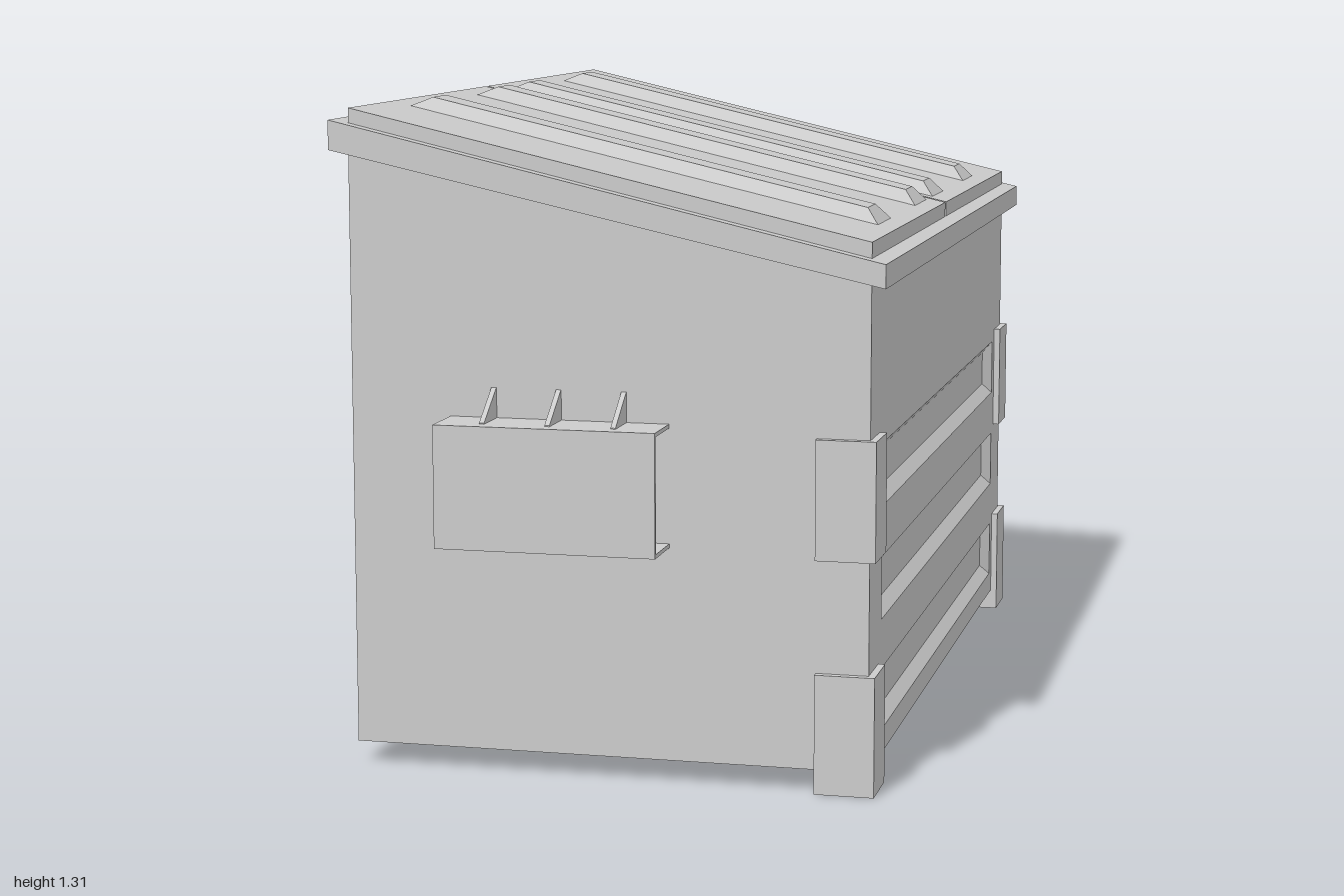
import * as THREE from 'three';

const material = new THREE.MeshStandardMaterial({ color: 0xcccccc, flatShading: true });

function add(parent, name, geometry, x = 0, y = 0, z = 0) {
  const mesh = new THREE.Mesh(geometry, material);
  mesh.name = name;
  mesh.position.set(x, y, z);
  parent.add(mesh);
  return mesh;
}

function shapeOf(points) {
  return new THREE.Shape(points.map(([x, y]) => new THREE.Vector2(x, y)));
}

// Side profile (x, y) extruded from z0 to z1
function slab(points, z0, z1) {
  return new THREE.ExtrudeGeometry(shapeOf(points), { depth: z1 - z0, bevelEnabled: false }).translate(0, 0, z0);
}

// Pressed rib facing +z with sloped edges: raised when height > 0, sunken when height < 0
function pressedRib(w, h, height, bevel) {
  const pos = [], index = [4, 5, 6, 4, 6, 7];
  for (const [inset, z] of [[0, 0], [bevel, height]]) {
    for (const [sx, sy] of [[-1, -1], [1, -1], [1, 1], [-1, 1]]) {
      pos.push(sx * (w / 2 - inset), sy * (h / 2 - inset), z);
    }
  }
  for (let i = 0; i < 4; i++) {
    const j = (i + 1) % 4;
    index.push(i, j, j + 4, i, j + 4, i + 4);
  }
  const indexed = new THREE.BufferGeometry();
  indexed.setAttribute('position', new THREE.Float32BufferAttribute(pos, 3));
  indexed.setIndex(index);
  const geometry = indexed.toNonIndexed();
  geometry.computeVertexNormals();
  return geometry;
}

export function createModel() {
  const model = new THREE.Group();
  model.name = 'dumpster';

  // Body, with the ribbed panel closing its +x side
  const faceX = 0.513, panelX = 0.485, halfZ = 0.888;
  add(model, 'body', slab([[-0.517, 0.045], [panelX, 0.045], [panelX, 1.01], [-0.517, 1.235]], -halfZ, halfZ));

  const ribbedSide = new THREE.Group();
  ribbedSide.name = 'ribbedSide';
  model.add(ribbedSide);
  const panel = shapeOf([[-halfZ, 0.045], [halfZ, 0.045], [halfZ, 1.005], [-halfZ, 1.005]]);
  const ribW = 1.508, ribH = 0.124;
  for (const y of [0.155, 0.378, 0.602]) {
    const a = ribW / 2, b = ribH / 2;
    panel.holes.push(new THREE.Path([[-a, y - b], [-a, y + b], [a, y + b], [a, y - b]].map(p => new THREE.Vector2(...p))));
    add(ribbedSide, 'sunkenRib', pressedRib(ribW, ribH, -0.02, 0.024), faceX, y, 0).rotation.y = Math.PI / 2;
  }
  const panelGeometry = new THREE.ExtrudeGeometry(panel, { depth: faceX - panelX, bevelEnabled: false });
  add(ribbedSide, 'sidePanel', panelGeometry, panelX, 0, 0).rotation.y = Math.PI / 2;

  // Sloping rim
  add(model, 'rim', slab([[-0.547, 1.222], [0.545, 0.981], [0.545, 1.027], [-0.547, 1.28]], -0.918, 0.918));

  // Two lids, each with two raised ribs
  const slope = 0.23, lidY = x => 1.183 - slope * x;
  const lidProfile = [[-0.517, 1.262], [0.513, 1.022], [0.513, lidY(0.513)], [-0.517, lidY(-0.517)]];
  for (const side of [1, -1]) {
    const lid = new THREE.Group();
    lid.name = side > 0 ? 'frontLid' : 'backLid';
    model.add(lid);
    add(lid, 'lidPanel', side > 0 ? slab(lidProfile, 0.006, 0.886) : slab(lidProfile, -0.886, -0.006));
    for (const z of [0.115, 0.555]) {
      const rib = add(lid, 'lidRib', pressedRib(0.98, 0.148, 0.024, 0.032), 0, lidY(0), side * z);
      rib.rotation.set(-Math.PI / 2, 0, -Math.atan(slope), 'ZXY');
    }
  }

  // Corner guards on the ribbed side
  for (const side of [1, -1]) {
    for (const [name, y0, y1] of [['lowerCornerGuard', 0, 0.235], ['upperCornerGuard', 0.457, 0.69]]) {
      add(model, name, new THREE.BoxGeometry(0.117, y1 - y0, 0.116), 0.4685, (y0 + y1) / 2, side * 0.845);
    }
  }

  // Lifting pockets: top, outer and bottom plates with three gussets
  const t = 0.008, width = 0.438, y0 = 0.466, y1 = 0.707;
  for (const side of [1, -1]) {
    const pocket = new THREE.Group();
    pocket.name = side > 0 ? 'frontLiftPocket' : 'backLiftPocket';
    pocket.position.x = side > 0 ? -0.097 : -0.067;
    model.add(pocket);
    for (const y of [y0 + t / 2, y1 - t / 2]) {
      add(pocket, 'pocketFlange', new THREE.BoxGeometry(width, t, 0.115), 0, y, side * 0.9425);
    }
    add(pocket, 'pocketPlate', new THREE.BoxGeometry(width, y1 - y0, t), 0, (y0 + y1) / 2, side * (1 - t / 2));
    for (const x of [-0.13, 0, 0.13]) {
      const gusset = slab([[0.88, y1 - 0.002], [0.97, y1 - 0.002], [0.97, y1 + 0.002], [0.89, 0.766], [0.88, 0.766]], -0.005, 0.005);
      add(pocket, 'gusset', gusset, x, 0, 0).rotation.y = -side * Math.PI / 2;
    }
  }

  return model;
}
